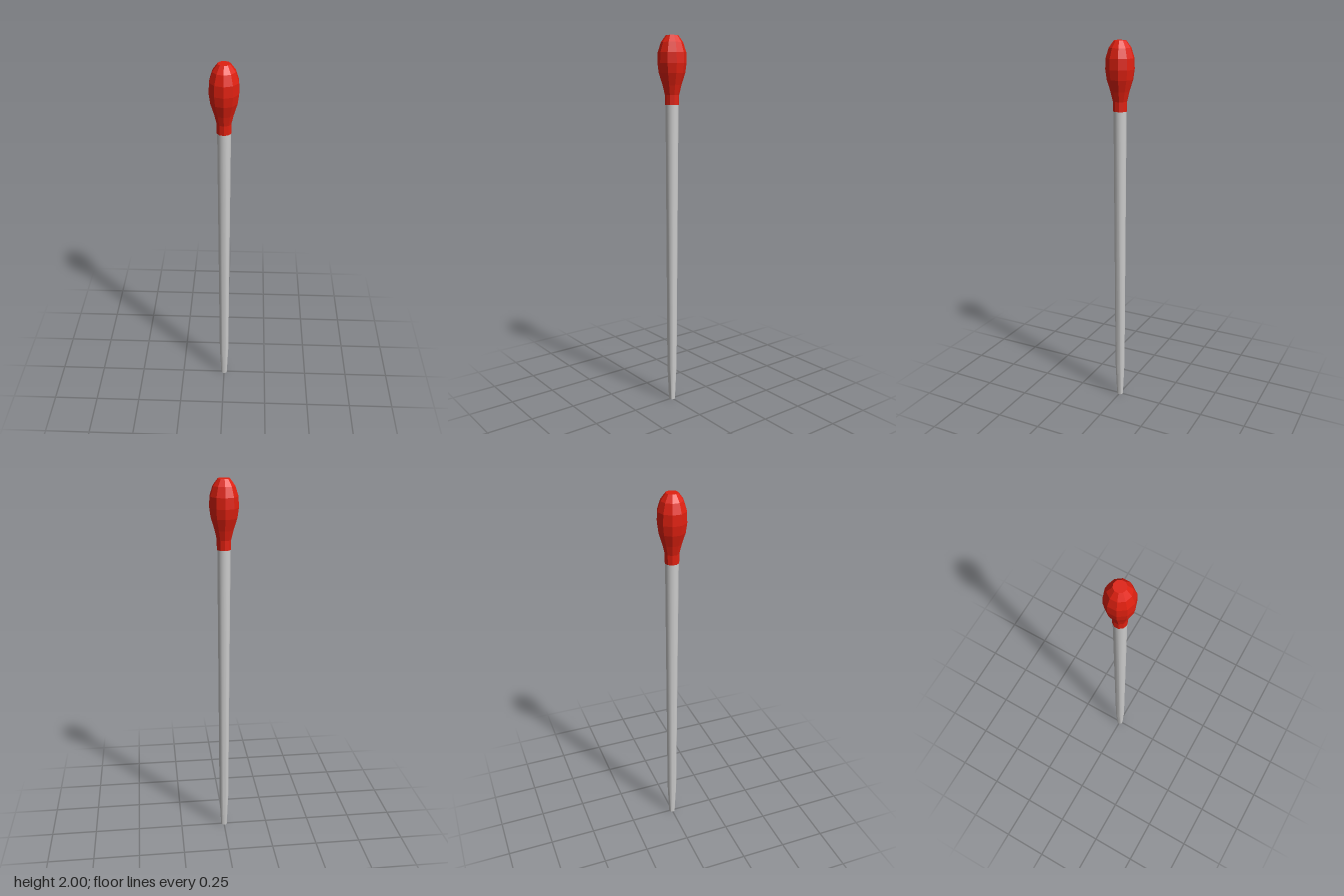
import * as THREE from 'three';
import { toCreasedNormals } from 'three/addons/utils/BufferGeometryUtils.js';

const SIDES = 10;

// Turn a [radius, height] profile (bottom to top) around the y axis
function turned(name, profile, sides, material, crease) {
  const points = profile.map(([r, y]) => new THREE.Vector2(r, y));
  let geometry = new THREE.LatheGeometry(points, sides);
  if (crease) geometry = toCreasedNormals(geometry, crease);
  const mesh = new THREE.Mesh(geometry, material);
  mesh.name = name;
  return mesh;
}

export function createModel() {
  const group = new THREE.Group();
  group.name = 'dropper';

  const grey = new THREE.MeshStandardMaterial({ color: 0xcccccc });
  const red = new THREE.MeshStandardMaterial({ color: 0xe02010, flatShading: true });

  // Long tapering tube with a narrow tip and a short bore in its end
  group.add(turned('tube', [
    [0, 0.12], [0.012, 0.12], [0.012, 0],
    [0.017, 0], [0.026, 0.2], [0.034, 1.66], [0, 1.66],
  ], SIDES * 2, grey, Math.PI / 5));

  // Faceted squeeze bulb with a straight collar and a flat top
  group.add(turned('bulb', [
    [0.02, 1.65], [0.037, 1.65], [0.037, 1.7], [0.049, 1.75],
    [0.068, 1.81], [0.075, 1.86], [0.073, 1.915],
    [0.057, 1.965], [0.031, 2], [0, 2],
  ], SIDES, red));

  return group;
}
